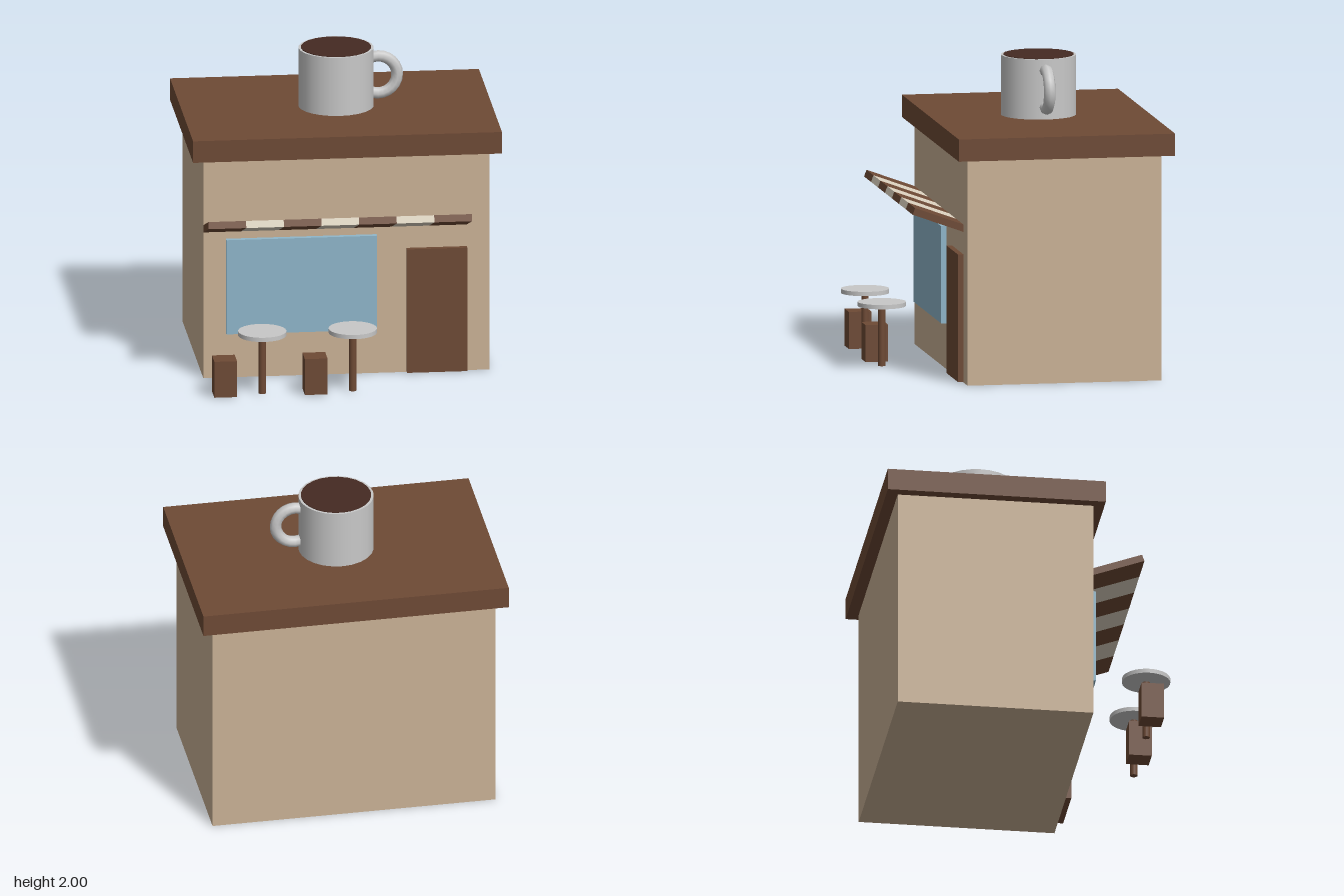
import * as THREE from 'three';

const mat = (name, color) => {
  const m = new THREE.MeshStandardMaterial({ color });
  m.name = name;
  return m;
};

export function createModel() {
  const tan = mat('tan wall', 0xcab296);
  const brown = mat('brown wood', 0x6e4a35);
  const cream = mat('cream cloth', 0xddd3c0);
  const white = mat('pale grey ceramic', 0xc8c8c8);
  const blue = mat('blue glass', 0x8fb6ca);
  const dark = mat('dark coffee', 0x452a22);

  const shop = new THREE.Group();
  shop.name = 'coffeeShop';

  const add = (parent, name, geometry, material, x, y, z) => {
    const mesh = new THREE.Mesh(geometry, material);
    mesh.name = name;
    mesh.position.set(x, y, z);
    parent.add(mesh);
    return mesh;
  };
  // box given by its limits on each axis
  const box = (parent, name, material, [x0, x1], [y0, y1], [z0, z1]) =>
    add(parent, name, new THREE.BoxGeometry(x1 - x0, y1 - y0, z1 - z0), material,
      (x0 + x1) / 2, (y0 + y1) / 2, (z0 + z1) / 2);

  // building
  box(shop, 'walls', tan, [-0.922, 0.922], [0, 1.463], [-0.866, 0.4]);
  box(shop, 'roof', brown, [-0.995, 0.995], [1.463, 1.607], [-0.94, 0.47]);
  box(shop, 'window', blue, [-0.777, 0.195], [0.298, 0.928], [0.36, 0.436]);
  box(shop, 'door', brown, [0.388, 0.775], [0.004, 0.83], [0.36, 0.436]);

  // striped awning, tilted upward away from the wall
  const awning = new THREE.Group();
  awning.name = 'awning';
  awning.position.set(-0.0735, 1.05, 0.54);
  awning.rotation.x = -THREE.MathUtils.degToRad(20);
  shop.add(awning);
  const stripe = 0.2424;
  for (let i = 0; i < 7; i++) {
    add(awning, 'awningStripe', new THREE.BoxGeometry(stripe, 0.046, 0.387),
      i % 2 ? cream : brown, (i - 3) * stripe, 0, 0);
  }

  // tables and stools
  for (const x of [-0.583, 0]) {
    const table = new THREE.Group();
    table.name = 'table';
    table.position.set(x, 0, 0.787);
    shop.add(table);
    add(table, 'tableTop', new THREE.CylinderGeometry(0.155, 0.155, 0.028, 32), white, 0, 0.407, 0);
    add(table, 'tableLeg', new THREE.CylinderGeometry(0.024, 0.024, 0.39, 16), brown, 0, 0.2, 0);
    add(shop, 'stool', new THREE.BoxGeometry(0.146, 0.24, 0.146), brown, x - 0.243, 0.125, 0.787);
  }

  // giant mug on the roof
  const mug = new THREE.Group();
  mug.name = 'mug';
  mug.position.set(0, 1.607, -0.235);
  shop.add(mug);
  add(mug, 'cup', new THREE.CylinderGeometry(0.242, 0.242, 0.389, 24), white, 0, 0.1945, 0);
  add(mug, 'coffee', new THREE.CylinderGeometry(0.226, 0.226, 0.008, 24), dark, 0, 0.389, 0);
  add(mug, 'handle', new THREE.TorusGeometry(0.124, 0.038, 8, 24), white, 0.27, 0.198, 0);

  return shop;
}
